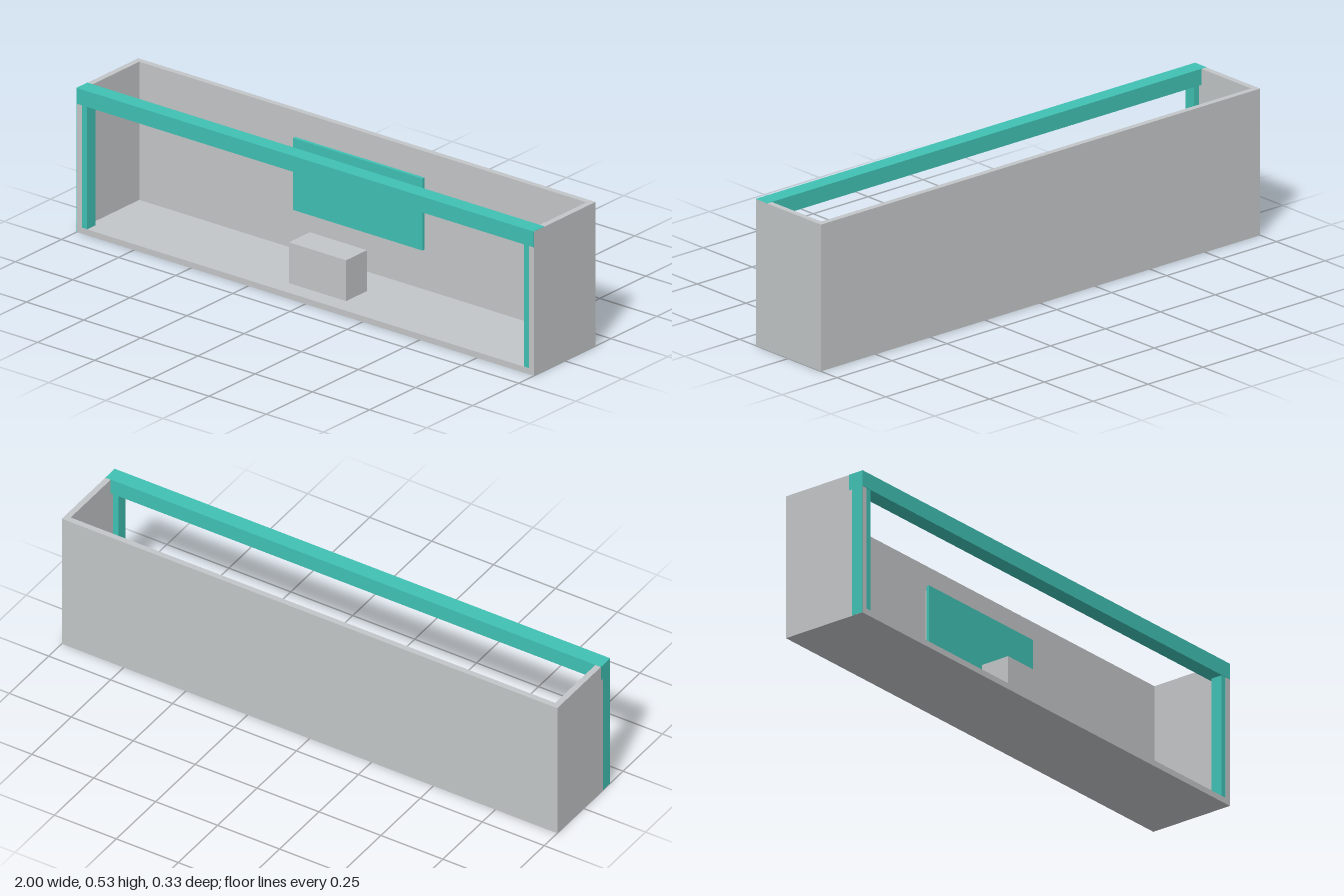
import * as THREE from 'three';

export function createModel() {
  const model = new THREE.Group();
  model.name = 'openFrontedShelf';

  const grey = new THREE.MeshStandardMaterial({ color: 0xc3c6c8 });
  grey.name = 'light grey';
  const teal = new THREE.MeshStandardMaterial({ color: 0x40c1b4 });
  teal.name = 'teal';

  // Box given by its extents along each axis
  function addBox(name, material, [x0, x1], [y0, y1], [z0, z1]) {
    const mesh = new THREE.Mesh(new THREE.BoxGeometry(x1 - x0, y1 - y0, z1 - z0), material);
    mesh.position.set((x0 + x1) / 2, (y0 + y1) / 2, (z0 + z1) / 2);
    mesh.name = name;
    model.add(mesh);
  }

  const H = 0.533, D = 0.167, T = 0.022;
  const gap = 0.0006; // keeps touching faces from flickering

  // Case: floor, back and two side walls, open at the front and top
  addBox('floor', grey, [-1 + T, 1 - T], [0, T], [-D + T, D]);
  addBox('backWall', grey, [-1 + T, 1 - T], [0, H], [-D, -D + T]);
  addBox('rightWall', grey, [-1, -1 + T], [0, H], [-D, D]);
  addBox('leftWall', grey, [1 - T, 1], [0, H], [-D, D]);

  // Front frame: two corner posts under a header beam
  const post = 0.045, beam = 0.058;
  const postY = [gap, H - beam], postZ = [D - post, D - gap];
  addBox('rightPost', teal, [-1 - gap, -1 + post], postY, postZ);
  addBox('leftPost', teal, [1 - post, 1 - gap], postY, postZ);
  addBox('headerBeam', teal, [-1 - gap, 1 - gap], [H - beam, H + gap], [D - beam, D + 0.001]);

  // Display panel with its backing on the rear wall
  addBox('panelBacking', grey, [-0.272, 0.272], [0.19, 0.434], [-0.141, -0.129]);
  addBox('panel', teal, [-0.283, 0.283], [0.179, 0.445], [-0.129, -0.117]);

  // Block standing on the floor
  addBox('block', grey, [-0.125, 0.125], [T, 0.173], [-0.012, 0.101]);

  return model;
}
